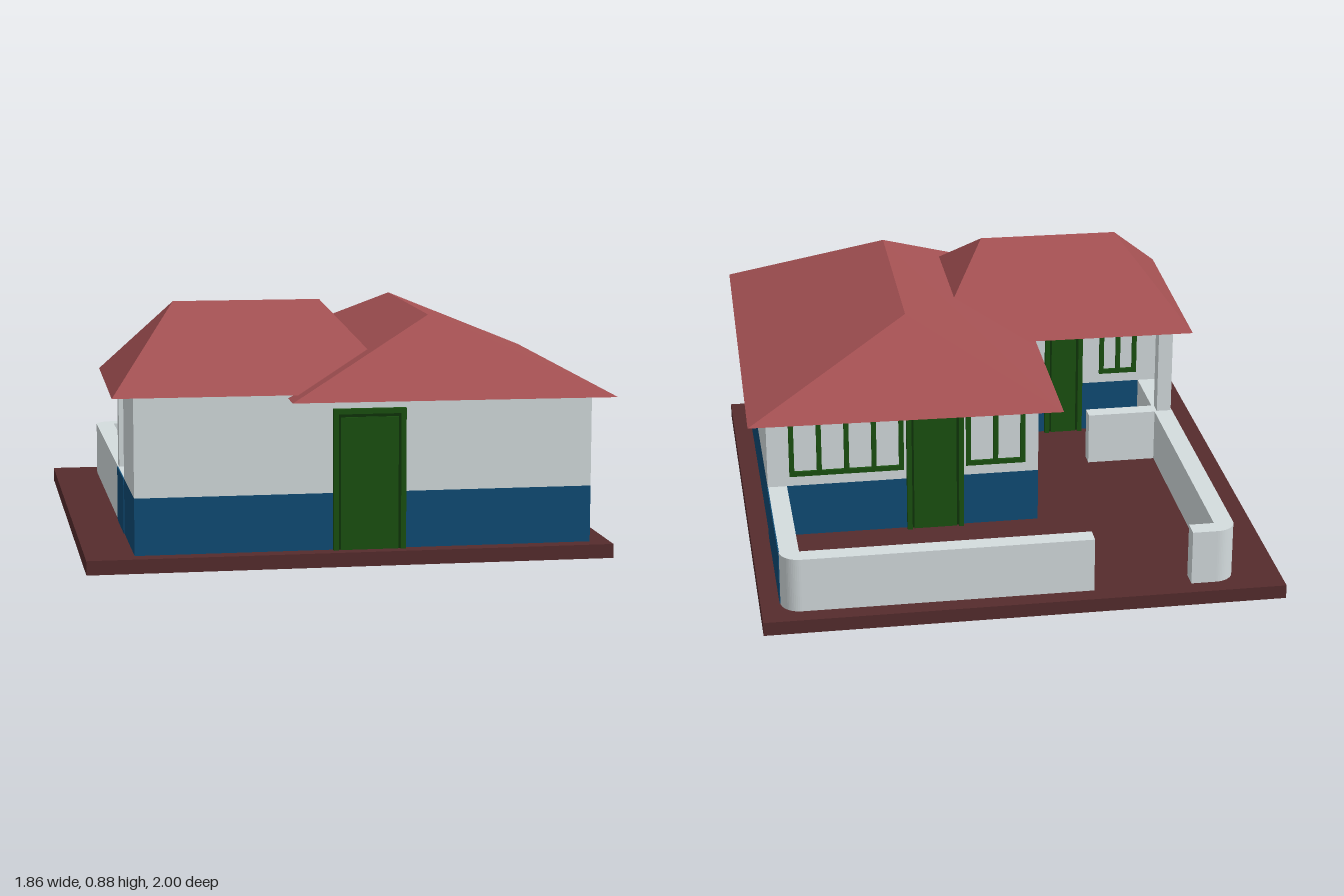
import * as THREE from 'three';

const mat = (color) => new THREE.MeshStandardMaterial({ color, flatShading: true, side: THREE.DoubleSide });

export function createModel() {
  const model = new THREE.Group();
  const white = mat(0xd4dcde), blue = mat(0x0f4c75), green = mat(0x1a5010);
  const darkGreen = mat(0x0f3309), red = mat(0xa35052), earth = mat(0x552c2d);

  const add = (name, geometry, material, parent = model) => {
    const mesh = new THREE.Mesh(geometry, material);
    mesh.name = name;
    parent.add(mesh);
    return mesh;
  };
  // Box given by its limits on each axis
  const box = (name, [x0, x1], [y0, y1], [z0, z1], material, parent) => {
    const mesh = add(name, new THREE.BoxGeometry(x1 - x0, y1 - y0, z1 - z0), material, parent);
    mesh.position.set((x0 + x1) / 2, (y0 + y1) / 2, (z0 + z1) / 2);
    return mesh;
  };

  // Ground slab
  box('groundSlab', [-0.93, 0.92], [0, 0.05], [-1, 0.9], earth);

  // Two house blocks, each with a blue lower band
  const house = (name, x, z, top) => {
    box(name + 'LowerWall', x, [0.05, 0.25], z, blue);
    box(name + 'UpperWall', x, [0.25, top], z, white);
  };
  house('main', [-0.15, 0.85], [-0.34, 0.84], 0.6);
  house('wing', [-0.76, -0.15], [0.44, 0.84], 0.605);

  // Hip roof: eave ring a, b, c, d seen counterclockwise from above;
  // ridge end r0 lies over edge a-b and r1 over edge c-d
  const hipRoof = (name, eaveY, ridgeY, ring, ridge) => {
    const [a, b, c, d] = ring.map(([x, z]) => [x, eaveY, z]);
    const [r0, r1] = ridge.map(([x, z]) => [x, ridgeY, z]);
    const corners = [a, b, r0, b, c, r1, b, r1, r0, c, d, r1, d, a, r0, d, r0, r1, a, d, c, a, c, b];
    const g = new THREE.BufferGeometry();
    g.setAttribute('position', new THREE.Float32BufferAttribute(corners.flat(), 3));
    g.computeVertexNormals();
    add(name, g, red);
  };
  hipRoof('mainRoof', 0.585, 0.84,
    [[-0.23, 0.97], [0.9, 0.995], [0.925, -0.555], [-0.2, -0.58]], [[0.31, 0.61], [0.32, -0.19]]);
  hipRoof('wingRoof', 0.6, 0.885,
    [[0.19, 0.885], [0.19, 0.065], [-0.815, 0.05], [-0.835, 0.87]], [[-0.055, 0.447], [-0.58, 0.44]]);

  // Garden walls: plan outlines (second value is -z) with one rounded outer corner
  const gardenWall = (name, side, inner, outer, gateX, endY) => {
    const s = new THREE.Shape();
    s.moveTo(gateX, 0.87);
    s.lineTo(inner, 0.87);
    s.lineTo(inner, endY);
    s.lineTo(outer, endY);
    s.lineTo(outer, 0.865);
    s.absarc(inner, 0.865, 0.07, side > 0 ? 0 : Math.PI, Math.PI / 2, side < 0);
    s.lineTo(gateX, 0.935);
    const g = new THREE.ExtrudeGeometry(s, { depth: 0.2, bevelEnabled: false, curveSegments: 8 });
    g.rotateX(-Math.PI / 2).translate(0, 0.05, 0);
    add(name, g, white);
  };
  gardenWall('leftGardenWall', 1, 0.78, 0.85, -0.25, 0.34);
  gardenWall('rightGardenWall', -1, -0.69, -0.76, -0.6, -0.44);
  box('leftWallBlueBand', [0.849, 0.853], [0.05, 0.25], [-0.865, -0.34], blue);
  box('porchBlueBand', [-0.763, -0.759], [0.05, 0.25], [0.18, 0.44], blue);

  // Porch: low wall and corner post
  box('porchLowWall', [-0.69, -0.43], [0.05, 0.25], [0.12, 0.18], white);
  box('porchPost', [-0.755, -0.7], [0.25, 0.61], [0.125, 0.18], white);

  // Rectangular frame of bars with optional upright mullions
  const frame = (group, [x0, x1], [y0, y1], z, w, panes, sill) => {
    for (let i = 0; i <= panes; i++) {
      const x = x0 + (x1 - x0 - w) * i / panes;
      box('upright', [x, x + w], [y0, y1], z, green, group);
    }
    box('headRail', [x0, x1], [y1 - w, y1], z, green, group);
    if (sill) box('sillRail', [x0, x1], [y0, y0 + w], z, green, group);
  };
  const windowUnit = (name, x, y, z, panes) => {
    const group = new THREE.Group();
    group.name = name;
    frame(group, x, y, [z - 0.01, z + 0.005], 0.018, panes, true);
    model.add(group);
  };
  const door = (name, x, y, z, out) => {
    const group = new THREE.Group();
    group.name = name;
    const span = (d) => [Math.min(z, z + out * d), Math.max(z, z + out * d)];
    frame(group, x, y, span(0.02), 0.018, 1, false);
    box('doorRecess', [x[0] + 0.01, x[1] - 0.01], [y[0], y[1] - 0.01], span(0.006), darkGreen, group);
    box('doorPanel', [x[0] + 0.026, x[1] - 0.026], [y[0], y[1] - 0.03], span(0.013), green, group);
    model.add(group);
  };
  door('frontDoor', [-0.07, 0.185], [0.05, 0.545], 0.84, 1);
  door('backDoor', [0.13, 0.34], [0.05, 0.55], -0.34, -1);
  door('porchDoor', [-0.46, -0.31], [0.05, 0.52], 0.44, -1);
  windowUnit('wideBackWindow', [0.35, 0.77], [0.29, 0.55], -0.34, 4);
  windowUnit('smallBackWindow', [-0.1, 0.12], [0.29, 0.55], -0.34, 2);
  windowUnit('porchWindow', [-0.68, -0.53], [0.29, 0.52], 0.44, 2);
  windowUnit('porchSideLight', [-0.25, -0.18], [0.09, 0.52], 0.44, 1);

  return model;
}
